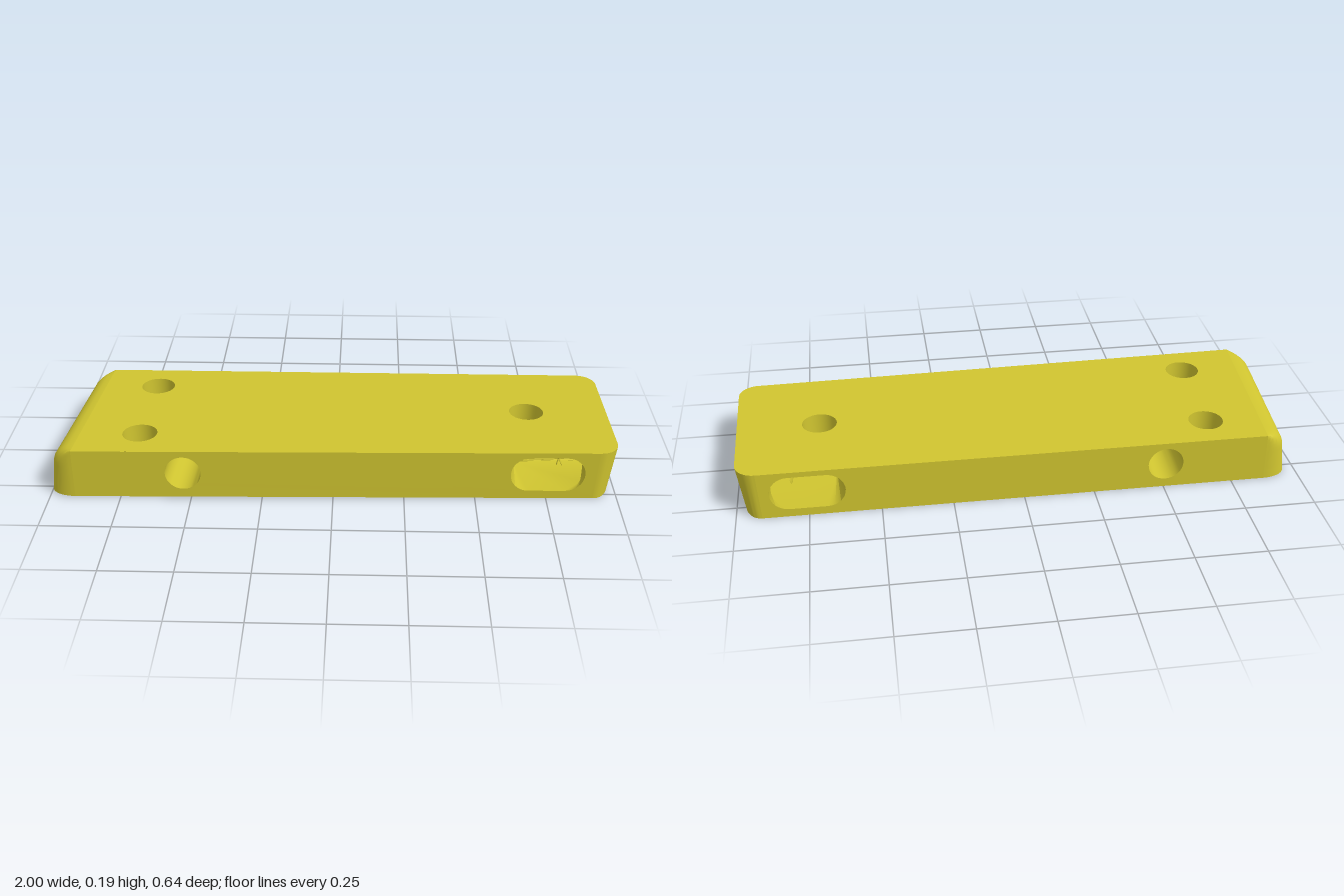
import * as THREE from 'three';
import { toCreasedNormals } from 'three/addons/utils/BufferGeometryUtils.js';

const BOTTOM = 0.005, TOP = 0.185, BACK = -0.325;
const mat = new THREE.MeshStandardMaterial({ color: 0xd0c530, side: THREE.DoubleSide });
const frontZ = (x) => 0.3 - 0.02 * x;
const height = (t) => BOTTOM + t * (TOP - BOTTOM);

// Slight roll of the deck and a raked stern
function warp(x, y, z) {
  const t = (y - BOTTOM) / (TOP - BOTTOM);
  const rake = THREE.MathUtils.clamp((x - 0.88) / 0.1, 0, 1);
  return [x + 0.024 * (t - 1) * rake, y + z * (0.006 + 0.01 * t), z];
}

function mesh(name, geometry) {
  const m = new THREE.Mesh(geometry, mat);
  m.name = name;
  return m;
}

// Skin over a row of equally long point loops
function loft(name, loops, closed) {
  const n = loops[0].length, pos = [], idx = [];
  loops.forEach((l) => l.forEach((p) => pos.push(...warp(...p))));
  for (let i = 0; i < loops.length - 1; i++)
    for (let j = 0; j < (closed ? n : n - 1); j++) {
      const a = i * n + j, b = i * n + (j + 1) % n;
      idx.push(a, b, b + n, a, b + n, a + n);
    }
  const g = new THREE.BufferGeometry();
  g.setAttribute('position', new THREE.Float32BufferAttribute(pos, 3));
  g.setIndex(idx);
  return mesh(name, toCreasedNormals(g, 0.7));
}

// Flat sheet with holes, placed in space by map(u, v)
function panel(name, outline, holes, map) {
  const toV = (l) => l.map(([u, v]) => new THREE.Vector2(u, v));
  const shape = new THREE.Shape(toV(outline));
  shape.holes = holes.map((h) => new THREE.Path(toV(h)));
  const g = new THREE.ShapeGeometry(shape), p = g.attributes.position;
  for (let i = 0; i < p.count; i++) p.setXYZ(i, ...warp(...map(p.getX(i), p.getY(i))));
  g.computeVertexNormals();
  return mesh(name, g);
}

// Elliptic corner in plan, angle measured from +z towards +x
function corner(cx, cz, rx, rz, quarter) {
  return Array.from({ length: 13 }, (_, i) => {
    const a = (quarter + i / 12) * Math.PI / 2;
    return [cx + rx * Math.sin(a), cz + rz * Math.cos(a)];
  });
}

// Slot from u0 to u1; round = 1 gives half-round ends, 0 gives square ends
function slot(u0, u1, y0, y1, round = 1) {
  const r = (y1 - y0) / 2, s = Math.sign(u1 - u0), pts = [];
  for (let e = 0; e < 2; e++)
    for (let i = 0; i <= 16; i++) {
      const a = -Math.PI / 2 + (i / 16 + e) * Math.PI;
      const c = e ? u0 + s * r * round : u1 - s * r * round;
      pts.push([c + s * r * round * Math.cos(a), (y0 + y1) / 2 + r * Math.sin(a)]);
    }
  return pts;
}

function circle(cx, cy, r) {
  return Array.from({ length: 32 }, (_, i) => {
    const a = i / 16 * Math.PI;
    return [cx + r * Math.cos(a), cy + r * Math.sin(a)];
  });
}

// Three-bladed propeller facing +z, with a cross strut or a long shaft
function propeller(name, r, shaft) {
  const g = new THREE.Group();
  g.name = name;
  const hub = mesh('hub', new THREE.SphereGeometry(0.01, 16, 12));
  hub.scale.z = 1.4;
  g.add(hub);
  for (const angle of [60, 180, 300]) {
    const arm = new THREE.Group();
    arm.rotation.z = THREE.MathUtils.degToRad(angle);
    const blade = mesh('blade', new THREE.SphereGeometry(1, 20, 12));
    blade.scale.set(r * 0.45, r * 0.28, r * 0.04);
    blade.position.x = r * 0.55;
    blade.rotation.x = 0.4;
    arm.add(blade);
    g.add(arm);
  }
  const rod = mesh(shaft ? 'shaft' : 'strut', shaft
    ? new THREE.CylinderGeometry(0.009, 0.009, shaft, 16)
    : new THREE.CylinderGeometry(0.004, 0.004, 0.124, 10));
  if (shaft) { rod.rotation.x = Math.PI / 2; rod.position.z = -shaft / 2; }
  else { rod.rotation.z = Math.PI / 2; rod.position.z = -0.01; }
  g.add(rod);
  return g;
}

export function createModel() {
  const model = new THREE.Group();
  model.name = 'thrusterHull';

  // Plan outline: rounded stern corners, then rounded bow corners
  const sternFront = corner(0.925, 0.2115, 0.07, 0.07, 0);
  const sternBack = corner(0.92, BACK + 0.07, 0.07, 0.07, 1);
  const bow = [...corner(-0.87, BACK + 0.06, 0.09, 0.06, 2), ...corner(-0.91, 0.258, 0.09, 0.06, 3)];
  const bowLine = (z) => -0.91 + (0.318 - z) / 0.643 * 0.04;

  // Deck and bottom with the vertical tunnel openings
  const wells = [[-0.68, -0.19], [-0.69, 0.18], [0.7, -0.02]];
  const wellHoles = wells.map(([x, z]) => circle(x, z, 0.062));
  const stern = [...sternFront, ...sternBack];
  panel('deck', [...stern, [-0.87, BACK], [-0.91, 0.318]], wellHoles, (x, z) => [x, TOP, z]);
  model.add(
    panel('deck', [...stern, [-0.87, BACK], [-0.91, 0.318]], wellHoles, (x, z) => [x, TOP, z]),
    panel('bottom', [...stern, ...bow], wellHoles, (x, z) => [x, BOTTOM, z]));

  // Rounded bow, drawn back towards the deck edge with height
  const levels = [0, 0.3, 0.6, 0.68, 0.76, 0.84, 0.9, 0.95, 0.985, 1];
  model.add(loft('bow', levels.map((t) => {
    const k = (1 - 0.15 * Math.min(t / 0.6, 1)) * Math.sqrt(1 - Math.max(0, (t - 0.6) / 0.4) ** 2);
    return bow.map(([x, z]) => [bowLine(z) + (x - bowLine(z)) * k, height(t), z]);
  }), false));

  // Stern corners
  for (const c of [sternFront, sternBack])
    model.add(loft('sternCorner', [0, 1].map((t) => c.map(([x, z]) => [x, height(t), z])), false));

  // Side walls and stern wall with their openings
  const rect = (a, b) => [[a, BOTTOM], [b, BOTTOM], [b, TOP], [a, TOP]];
  const sideSlot = slot(0.62, 0.88, 0.035, 0.165);
  const ports = [slot(0.005, 0.21, 0.03, 0.165), slot(-0.03, -0.24, 0.03, 0.165)];
  const sternX = (z) => 0.99 + 0.005 * (z + 0.255) / 0.4665;
  const crossFront = circle(-0.525, 0.1, 0.063), crossBack = circle(-0.505, 0.1, 0.063);
  model.add(
    panel('frontWall', rect(-0.91, 0.925), [sideSlot, crossFront], (x, y) => [x, y, frontZ(x)]),
    panel('backWall', rect(-0.87, 0.92), [sideSlot, crossBack], (x, y) => [x, y, BACK]),
    panel('sternWall', rect(-0.255, 0.2115), ports, (z, y) => [sternX(z), y, z]));

  // Ducts bending from the stern ports out to the side slots
  [[0.08, 0.21, frontZ], [-0.115, -0.24, () => BACK]].forEach(([inner, outer, wallZ], i) => {
    const bend = slot(0, 1, 0.03, 0.165, 0).map(([u, y]) =>
      [0.65 + 0.23 * u, y, inner + (outer - inner) * u]);
    model.add(loft('duct', [
      ports[i].map(([z, y]) => [sternX(z), y, z]),
      bend,
      sideSlot.map(([x, y]) => [x, y, wallZ(x)]),
    ], true));
    const drive = propeller('drivePropeller', 0.055, 0.165);
    drive.position.set(0.81, 0.087, i ? -0.15 : 0.13);
    drive.rotation.y = Math.PI / 2;
    model.add(drive);
  });

  // Vertical tunnels with lift propellers
  wells.forEach(([x, z], i) => {
    model.add(loft('liftTunnel', [0, 1].map((t) => wellHoles[i].map(([u, v]) => [u, height(t), v])), true));
    const lift = propeller('liftPropeller', 0.056);
    lift.position.set(x, 0.1, z);
    lift.rotation.x = -Math.PI / 2;
    model.add(lift);
  });

  // Cross tunnel near the bow with its propeller
  model.add(loft('crossTunnel', [
    crossFront.map(([x, y]) => [x, y, frontZ(x)]),
    crossBack.map(([x, y]) => [x, y, BACK]),
  ], true));
  const side = propeller('sidePropeller', 0.056);
  side.position.set(-0.515, 0.1, 0);
  model.add(side);
  return model;
}
